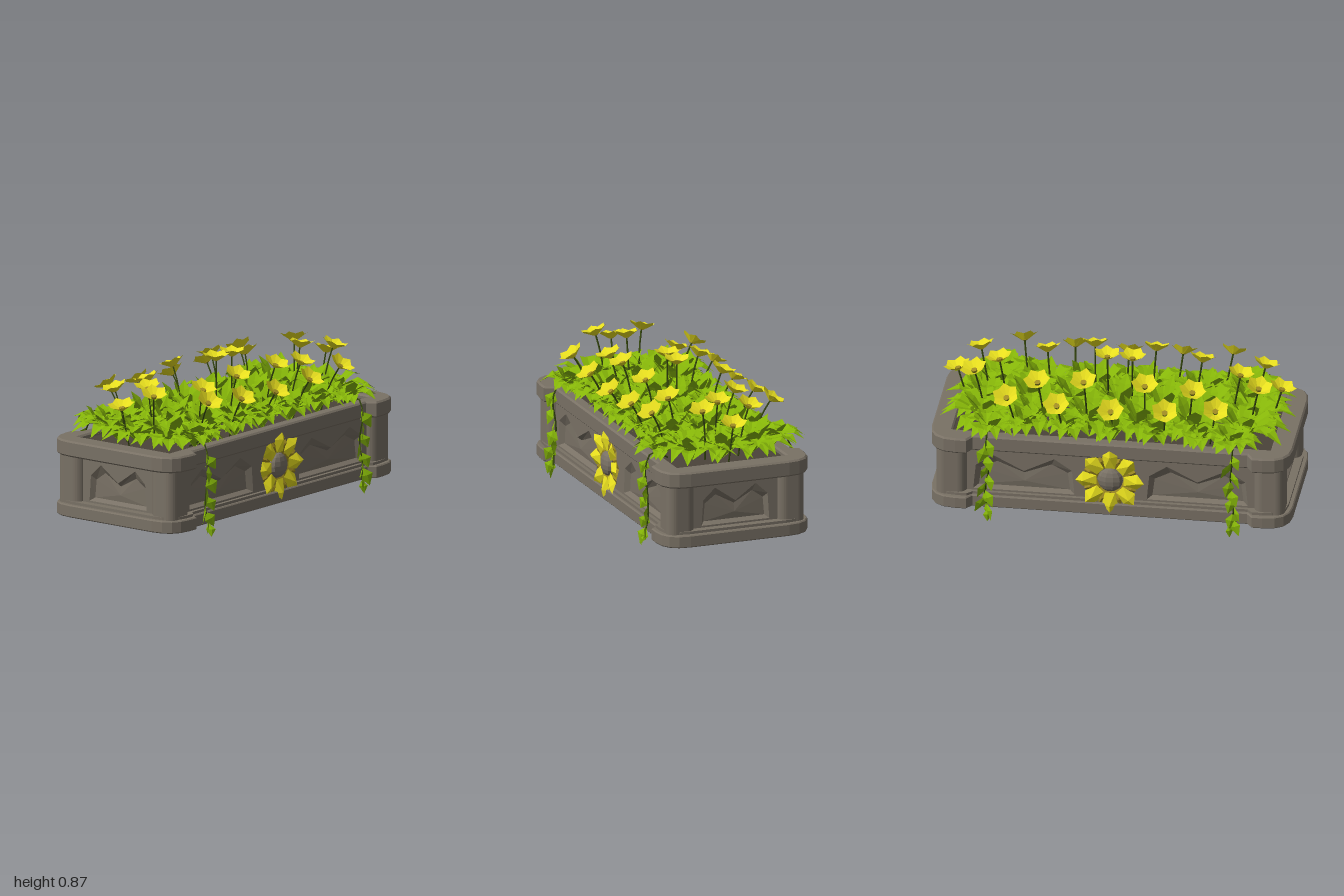
import * as THREE from 'three';
import { mergeGeometries } from 'three/addons/utils/BufferGeometryUtils.js';

const mat = (name, color, extra = {}) => {
  const m = new THREE.MeshStandardMaterial({ color, ...extra });
  m.name = name;
  return m;
};
const V = (x, y, z) => new THREE.Vector3(x, y, z);

let seed = 7;
const rnd = (a = 0, b = 1) => {
  seed = (seed * 16807) % 2147483647;
  return a + (b - a) * (seed / 2147483647);
};

// Flat-faced geometry from a list of triangle corner points
function facets(points) {
  const g = new THREE.BufferGeometry().setFromPoints(points);
  g.computeVertexNormals();
  return g;
}

// Plan of the planter: rounded corner blocks standing proud of the long sides
function plan(x, zCorner, zMid, r) {
  const s = new THREE.Shape();
  s.moveTo(-0.76, -zMid).lineTo(0.76, -zMid).lineTo(0.79, -zCorner).lineTo(x - r, -zCorner);
  s.quadraticCurveTo(x, -zCorner, x, -zCorner + r).lineTo(x, zCorner - r);
  s.quadraticCurveTo(x, zCorner, x - r, zCorner).lineTo(0.79, zCorner);
  s.lineTo(0.76, zMid).lineTo(-0.76, zMid).lineTo(-0.79, zCorner).lineTo(-x + r, zCorner);
  s.quadraticCurveTo(-x, zCorner, -x, zCorner - r).lineTo(-x, -zCorner + r);
  s.quadraticCurveTo(-x, -zCorner, -x + r, -zCorner).lineTo(-0.79, -zCorner);
  s.closePath();
  return s;
}
function slab(shape, y0, y1, bevel) {
  const g = new THREE.ExtrudeGeometry(shape, {
    depth: y1 - y0 - 2 * bevel, bevelEnabled: bevel > 0, bevelSize: bevel,
    bevelThickness: bevel, bevelOffset: -bevel, bevelSegments: 1, curveSegments: 4,
  });
  return g.rotateX(-Math.PI / 2).translate(0, y0 + bevel, 0);
}
const rect = (C, x, y) => new C([[-x, -y], [x, -y], [x, y], [-x, y]].map(p => new THREE.Vector2(...p)));

// Twin-peaked outline of a carved panel
const archOutline = (cx, w) => [[-1, 0.165], [1, 0.165], [0.95, 0.31], [0.6, 0.375], [0, 0.29],
  [-0.6, 0.375], [-0.95, 0.31]].map(([u, y]) => new THREE.Vector2(cx + u * w, y));

// Wall plate facing +z with carved, sloping recesses
function wall(halfWidth, panels, z) {
  const s = new THREE.Shape([[-halfWidth, 0.13], [halfWidth, 0.13], [halfWidth, 0.43], [-halfWidth, 0.43]]
    .map(p => new THREE.Vector2(...p)));
  const tris = [];
  for (const [cx, w] of panels) {
    const o = archOutline(cx, w), n = o.length;
    s.holes.push(new THREE.Path(o));
    const outer = o.map(p => V(p.x, p.y, z));
    const inner = o.map(p => V(cx + (p.x - cx) * 0.9, 0.22 + (p.y - 0.22) * 0.7, z - 0.026));
    const mid = V(cx, 0.22, z - 0.02);
    for (let i = 0; i < n; i++) {
      const j = (i + 1) % n;
      tris.push(outer[i], outer[j], inner[j], outer[i], inner[j], inner[i], inner[i], inner[j], mid);
    }
  }
  const plate = new THREE.ExtrudeGeometry(s, { depth: 0.03, bevelEnabled: false }).translate(0, 0, z - 0.03);
  const carved = facets(tris);
  plate.deleteAttribute('uv');
  return mergeGeometries([plate, carved]);
}

// Arched, folded leaf blade appended as triangles
function addLeaf(out, base, azimuth, length, width, rise, droop) {
  const d = V(Math.cos(azimuth), 0, Math.sin(azimuth)), side = V(-d.z, 0, d.x);
  const rows = [[0, 0.25], [0.35, 0.8], [0.68, 1], [1, 0]].map(([t, w]) => {
    const c = base.clone().addScaledVector(d, length * t);
    c.y += rise * t - droop * t * t;
    const h = width * w / 2, lift = V(0, h * 0.25, 0);
    return [c.clone().addScaledVector(side, h).add(lift), c, c.clone().addScaledVector(side, -h).add(lift)];
  });
  for (let i = 0; i < 3; i++) for (let k = 0; k < 2; k++) {
    const [a, b, c, e] = [rows[i][k], rows[i][k + 1], rows[i + 1][k], rows[i + 1][k + 1]];
    out.push(a, c, b);
    if (i < 2) out.push(b, c, e);
  }
}

export function createModel() {
  const root = new THREE.Group();
  const dbl = { side: THREE.DoubleSide, flatShading: true };
  const stone = mat('stone', 0x797165, { flatShading: true });
  const soil = mat('soil', 0x4a4339);
  const leafGreen = mat('leaf green', 0x86b608, dbl);
  const stemGreen = mat('stem green', 0x33450c, dbl);
  const yellow = mat('petal yellow', 0xe8df1e, dbl);
  const gold = mat('old gold', 0xa08c22, dbl);
  const add = (name, geo, material, parent = root) => {
    const m = new THREE.Mesh(geo, material);
    m.name = name;
    parent.add(m);
    return m;
  };

  // Stone planter
  add('base', slab(plan(1, 0.44, 0.4, 0.15), 0.07, 0.14, 0.006), stone);
  add('baseStep', slab(plan(0.975, 0.415, 0.385, 0.13), 0.135, 0.155, 0), stone);
  const rim = plan(1, 0.44, 0.39, 0.15);
  rim.holes.push(rect(THREE.Path, 0.88, 0.32));
  add('rim', slab(rim, 0.41, 0.5, 0.009), stone);
  add('core', new THREE.BoxGeometry(1.78, 0.3, 0.64).translate(0, 0.28, 0), stone);
  add('soil', new THREE.BoxGeometry(1.8, 0.04, 0.66).translate(0, 0.455, 0), soil);
  const foot = new THREE.Shape([[-0.68, -0.08], [-0.55, -0.21], [0.55, -0.21], [0.68, -0.08],
    [0.68, 0.08], [0.55, 0.21], [-0.55, 0.21], [-0.68, 0.08]].map(p => new THREE.Vector2(...p)));
  add('foot', slab(foot, 0.042, 0.1, 0.026), stone);

  // Carved walls
  const longWall = wall(0.82, [[-0.48, 0.28], [0.48, 0.28]], 0.365);
  const endWall = wall(0.27, [[0, 0.2]], 0.93);
  for (let i = 0; i < 2; i++) {
    add('longWall', longWall, stone).rotation.y = i * Math.PI;
    add('endWall', endWall, stone).rotation.y = (i + 0.5) * Math.PI;
  }

  // Corner columns
  const post = new THREE.Shape();
  post.absarc(0.035, 0.03, 0.05, 0, Math.PI / 2).absarc(-0.035, 0.03, 0.05, Math.PI / 2, Math.PI)
    .absarc(-0.035, -0.03, 0.05, Math.PI, Math.PI * 1.5).absarc(0.035, -0.03, 0.05, Math.PI * 1.5, Math.PI * 2);
  const postGeo = slab(post, 0.13, 0.43, 0);
  for (const sx of [-1, 1]) for (const sz of [-1, 1])
    add('cornerColumn', postGeo, stone).position.set(sx * 0.88, 0, sz * 0.325);

  // Flower medallions on both long sides
  const petalRing = (n, r0, r1, half, z, turn) => {
    const pts = [];
    for (let i = 0; i < n; i++) {
      const a = i / n * Math.PI * 2 + turn;
      const at = (r, t, h) => V(r * Math.cos(a) - t * Math.sin(a), r * Math.sin(a) + t * Math.cos(a), h);
      const rm = r0 * 0.35 + r1 * 0.65;
      const inn = at(r0, 0, z), tip = at(r1, 0, z + 0.015), l = at(rm, half, z - 0.005),
        r = at(rm, -half, z - 0.005), top = at(rm, 0, z + 0.025);
      const il = at(r0, half * 0.6, z), ir = at(r0, -half * 0.6, z);
      pts.push(inn, top, il, il, top, l, l, top, tip, tip, top, r, r, top, ir, ir, top, inn);
    }
    return facets(pts);
  };
  const petalsFront = petalRing(8, 0.075, 0.19, 0.046, 0.392, Math.PI / 2);
  const petalsBack = petalRing(8, 0.07, 0.155, 0.05, 0.372, Math.PI / 8);
  const boss = new THREE.SphereGeometry(0.07, 10, 8).scale(1, 1, 0.5).translate(0, 0, 0.38);
  for (let i = 0; i < 2; i++) {
    const g = new THREE.Group();
    g.name = 'medallion';
    g.position.y = 0.28;
    g.rotation.y = i * Math.PI;
    add('medallionPetals', petalsFront, yellow, g);
    add('medallionBackPetals', petalsBack, gold, g);
    add('medallionBoss', boss, stone, g);
    root.add(g);
  }

  // Leaf rosettes: x, z, reach, height, base height
  const clumps = [[0, 0, 0.25, 0.27, 0.475]];
  for (const s of [-1, 1]) {
    clumps.push([s * 0.73, 0, 0.28, 0.21, 0.475], [s * 0.48, 0, 0.25, 0.26, 0.475],
      [s * 0.24, 0, 0.25, 0.26, 0.475], [0, s * 0.27, 0.15, 0.2, 0.475]);
    for (const t of [-1, 1])
      clumps.push([s * 0.71, t * 0.18, 0.28, 0.23, 0.475], [s * 0.43, t * 0.18, 0.24, 0.25, 0.475],
        [s * 0.14, t * 0.18, 0.24, 0.25, 0.475], [s * 0.67, t * 0.33, 0.18, 0.16, 0.5],
        [s * 0.48, t * 0.27, 0.16, 0.2, 0.475], [s * 0.24, t * 0.27, 0.15, 0.2, 0.475]);
  }
  for (const [x, z, reach, height, y] of clumps) {
    const tris = [];
    for (let i = 0; i < 22; i++) {
      const ring = i < 11 ? 0 : i < 18 ? 1 : 2;
      const L = reach * [1, 0.85, 0.5][ring] * rnd(0.85, 1);
      const up = height * [1.5, 1.6, 1.1][ring] * rnd(0.85, 1.1);
      addLeaf(tris, V(x, y, z), i * 2.4 + rnd(0, 0.5), L, rnd(0.06, 0.085), up,
        up * [0.85, 0.68, 0.25][ring]);
    }
    add('leafRosette', facets(tris), leafGreen);
  }

  // Flowers: scalloped cups on thin stems, leaning outwards
  const cup = new THREE.CylinderGeometry(0.076, 0.016, 0.042, 12, 1, true);
  const cp = cup.attributes.position;
  for (let i = 0; i < cp.count; i++) {
    if (cp.getY(i) > 0 && Math.round(Math.atan2(cp.getX(i), cp.getZ(i)) / (Math.PI / 6)) % 2 !== 0)
      cp.setXYZ(i, cp.getX(i) * 0.82, cp.getY(i) - 0.012, cp.getZ(i) * 0.82);
  }
  const eye = new THREE.CylinderGeometry(0.018, 0.013, 0.016, 6).translate(0, -0.016, 0);
  const flower = (x, y, z) => {
    const axis = V(x * 0.3, 1, z * 1.8).normalize();
    const g = new THREE.Group();
    g.name = 'flower';
    g.position.set(x, y, z);
    g.quaternion.setFromUnitVectors(V(0, 1, 0), axis);
    g.rotateY(rnd(0, 6));
    add('petals', cup, yellow, g);
    add('flowerEye', eye, gold, g);
    root.add(g);
    const head = V(x, y, z).addScaledVector(axis, -0.02);
    const curve = new THREE.QuadraticBezierCurve3(V(x * 0.92, 0.47, z * 0.7),
      head.clone().addScaledVector(axis, -0.12), head);
    add('flowerStem', new THREE.TubeGeometry(curve, 4, 0.005, 4), stemGreen);
  };
  for (const s of [-1, 1]) {
    for (const [x, y] of [[0.07, 0.85], [0.67, 0.79], [0.9, 0.72]]) flower(s * x, y, 0);
    flower(0, 0.7, s * 0.37);
    for (const t of [-1, 1])
      for (const [x, y, z] of [[0.17, 0.8, 0.23], [0.43, 0.765, 0.2], [0.79, 0.785, 0.14],
        [0.58, 0.74, 0.36], [0.3, 0.715, 0.37]]) flower(s * x, y, t * z);
  }

  // Trailing vines over the rim
  for (const s of [-1, 1]) for (const t of [-1, 1]) {
    const path = new THREE.CatmullRomCurve3([V(0.68, 0.5, 0.3), V(0.68, 0.54, 0.39), V(0.68, 0.46, 0.43),
      V(0.67, 0.3, 0.415), V(0.69, 0.17, 0.42), V(0.67, 0.08, 0.43)].map(p => V(p.x * s, p.y, p.z * t)));
    add('vineStem', new THREE.TubeGeometry(path, 14, 0.005, 4), stemGreen);
    const tris = [];
    const n = 10;
    for (let i = 0; i < n; i++) {
      // blades twist to alternate sides of the stem
      const p = path.getPoint(0.32 + 0.68 * i / (n - 1));
      const last = i === n - 1, size = last ? 0.075 : rnd(0.09, 0.115);
      const k = i % 2 ? 1 : -1, a = last ? 0 : k * rnd(0.2, 0.6), twist = k * rnd(0.2, 0.9);
      const dir = V(Math.sin(a), -Math.cos(a), 0.25 * t).normalize();
      const side = V(Math.cos(a) * Math.cos(twist), Math.sin(a) * Math.cos(twist), Math.sin(twist) * t);
      const at = (u, w, out) => p.clone().addScaledVector(dir, u * size).addScaledVector(side, w * size)
        .add(V(0, 0, out * t));
      const b = at(0, 0, 0), l = at(0.4, 0.36, 0.005), r = at(0.4, -0.36, 0.005),
        m = at(0.4, 0, 0.015), tip = at(1, 0, 0);
      tris.push(b, m, l, l, m, tip, tip, m, r, r, m, b);
    }
    add('vineLeaves', facets(tris), leafGreen);
  }
  return root;
}
